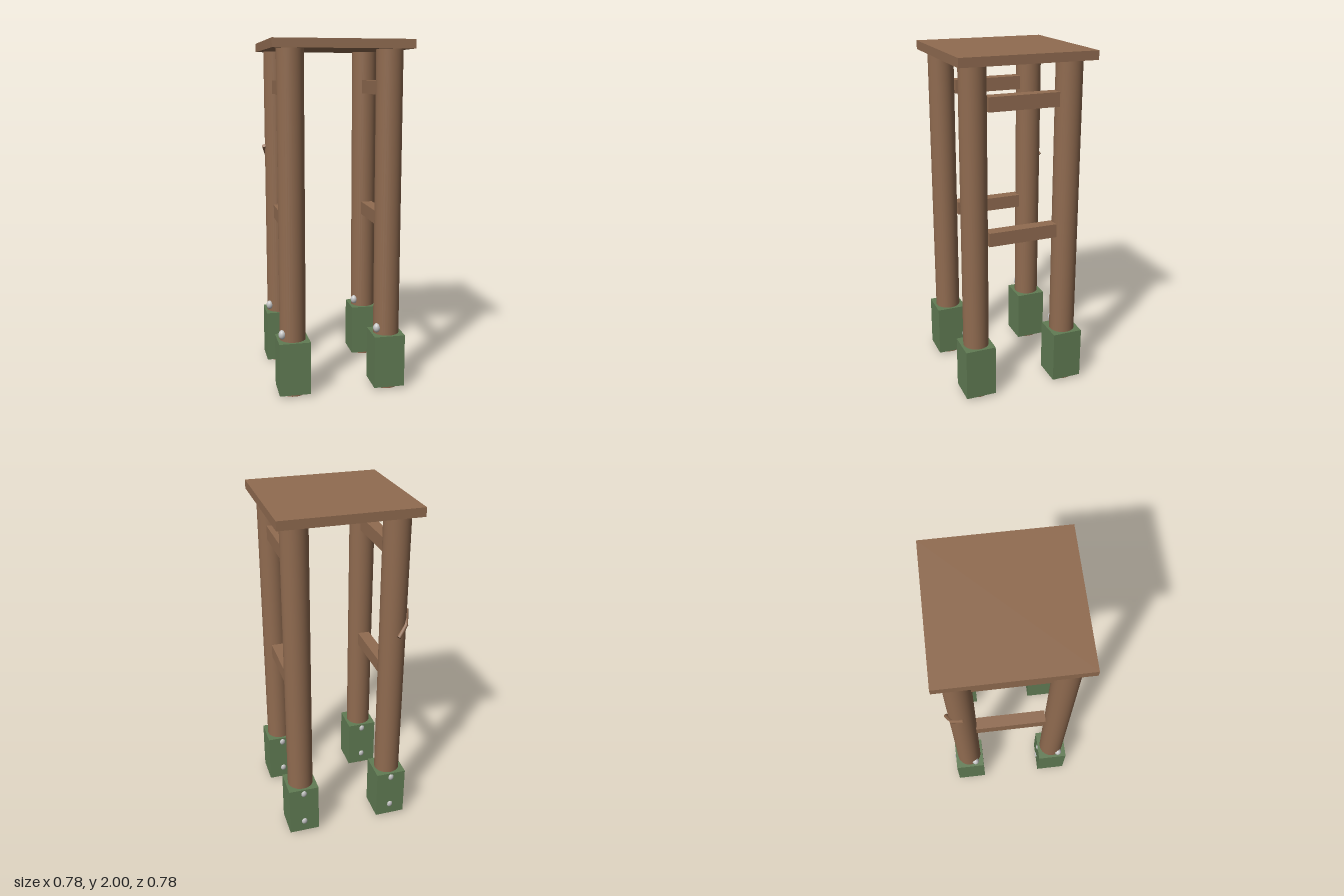
import * as THREE from 'three';

const make = (name, color) => {
  const m = new THREE.MeshStandardMaterial({ color });
  m.name = name;
  return m;
};

export function createModel() {
  const wood = make('brown wood', 0x906b50);
  const green = make('green bracket', 0x617c54);
  const metal = make('pale metal', 0xc4c4c4);
  const group = new THREE.Group();

  const add = (name, geometry, material, x, y, z, parent = group) => {
    const mesh = new THREE.Mesh(geometry, material);
    mesh.name = name;
    mesh.position.set(x, y, z);
    parent.add(mesh);
    return mesh;
  };

  // Square platform
  add('platform', new THREE.BoxGeometry(0.78, 0.05, 0.78), wood, 0, 1.975, 0);

  // Four posts, each with a foot bracket and bolts
  const postGeo = new THREE.CylinderGeometry(0.075, 0.075, 1.95, 32);
  const footGeo = new THREE.BoxGeometry(0.18, 0.31, 0.18);
  const boltGeo = new THREE.SphereGeometry(0.022, 16, 12).scale(1, 1.25, 1);
  for (const x of [-0.28, 0.275]) {
    for (const z of [0.28, -0.275]) {
      const leg = new THREE.Group();
      leg.name = 'leg';
      leg.position.set(x, 0, z);
      group.add(leg);
      add('post', postGeo, wood, 0, 0.975, 0, leg);
      add('footBracket', footGeo, green, 0, 0.17, 0, leg);
      for (const y of [0.085, 0.295]) add('backBolt', boltGeo, metal, 0, y, -0.077, leg);
      add('sideBolt', boltGeo, metal, -0.065, 0.365, 0.038, leg);
    }
  }

  // Cross rails joining front and back posts on each side
  const railGeo = new THREE.BoxGeometry(0.07, 0.08, 0.41);
  for (const x of [-0.28, 0.28]) {
    for (const y of [0.98, 1.74]) add('rail', railGeo, wood, x, y, 0);
  }

  // Bent twig on the back post
  const twig = new THREE.Group();
  twig.name = 'twig';
  group.add(twig);
  const points = [[-0.362, 1.38, -0.265], [-0.338, 1.32, -0.33], [-0.288, 1.265, -0.36]]
    .map((p) => new THREE.Vector3(...p));
  for (let i = 0; i < 2; i++) {
    const dir = points[i + 1].clone().sub(points[i]);
    const mid = points[i].clone().addScaledVector(dir, 0.5);
    const geo = new THREE.CylinderGeometry(0.012, 0.012, dir.length() + 0.008, 8);
    const part = add('twigSegment', geo, wood, mid.x, mid.y, mid.z, twig);
    part.quaternion.setFromUnitVectors(new THREE.Vector3(0, 1, 0), dir.normalize());
  }

  return group;
}
